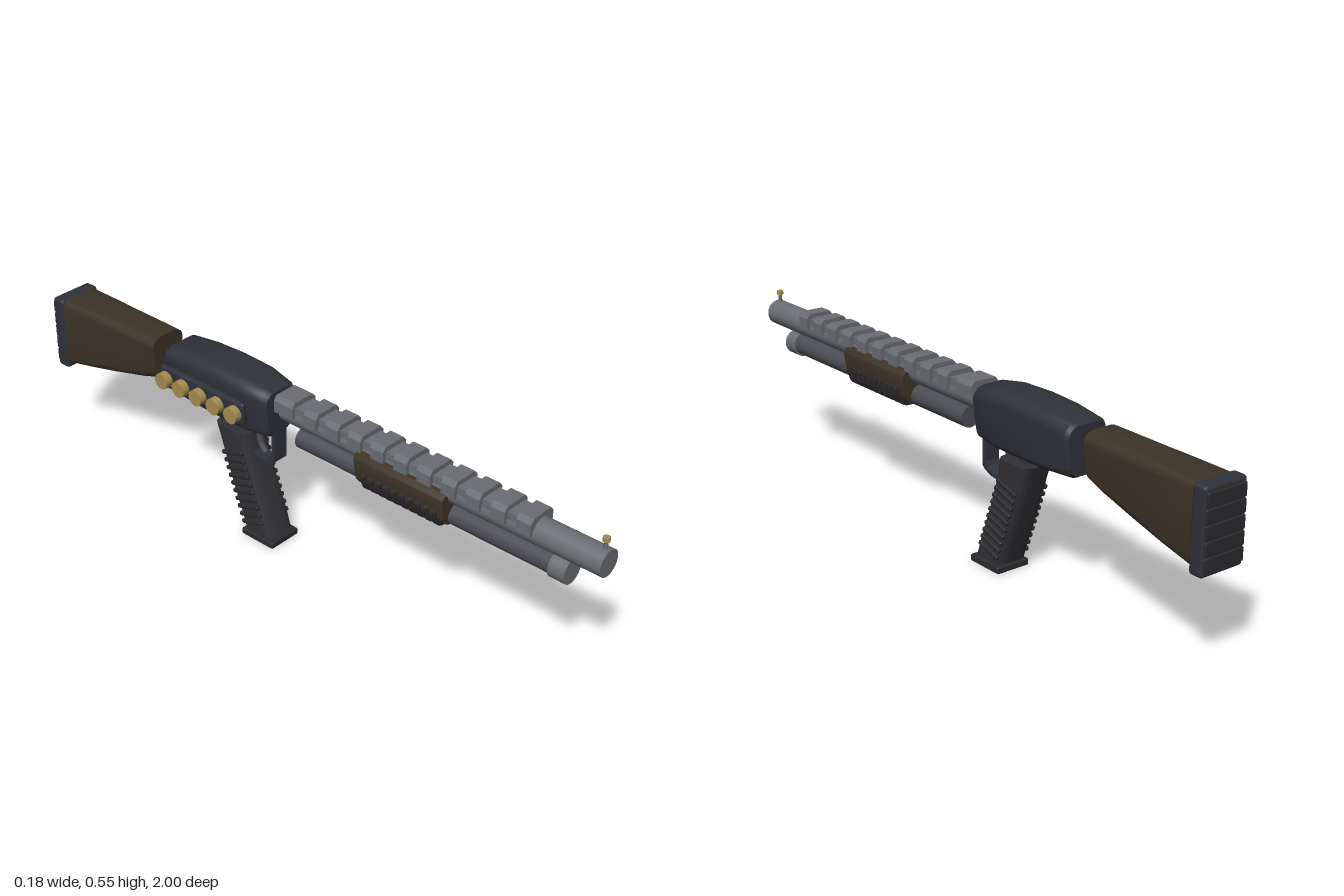
import * as THREE from 'three';
import { toCreasedNormals } from 'three/addons/utils/BufferGeometryUtils.js';
import { RoundedBoxGeometry } from 'three/addons/geometries/RoundedBoxGeometry.js';

const mat = (color) => new THREE.MeshStandardMaterial({ color, side: THREE.DoubleSide });
const steel = mat(0x6a6d72), gunmetal = mat(0x4b4d54), dark = mat(0x30323a);
const wood = mat(0x3d3328), rubber = mat(0x2b2b2f), gripMat = mat(0x333135), brass = mat(0xa68c50);

// One rounded ring: half width w, from y0 to y1, corner radii rt / rb, base narrowed by n
function ring({ w, y0, y1, rt = 0.03, rb = rt, n = 1 }) {
  const pts = [], steps = 6;
  const corners = [[1, 1], [-1, 1], [-1, -1], [1, -1]];
  corners.forEach(([sx, sy], c) => {
    const r = sy > 0 ? rt : rb, hw = sy > 0 ? w : w * n;
    for (let i = 0; i <= steps; i++) {
      const a = (c + i / steps) * Math.PI / 2;
      pts.push([sx * (hw - r) + r * Math.cos(a), (sy > 0 ? y1 - r : y0 + r) + r * Math.sin(a)]);
    }
  });
  return pts;
}

// Closed skin through rings ordered from high z to low z
function loft(sections, crease = 0.6) {
  const pos = [], idx = [], rings = sections.map(ring), n = rings[0].length;
  rings.forEach((r, k) => r.forEach(([x, y]) => pos.push(x, y, sections[k].z)));
  for (let k = 0; k < rings.length - 1; k++)
    for (let i = 0; i < n; i++) {
      const j = (i + 1) % n, a = k * n, b = a + n;
      idx.push(a + i, b + i, b + j, a + i, b + j, a + j);
    }
  [0, rings.length - 1].forEach((k) => {
    const s = sections[k], c = pos.length / 3;
    pos.push(0, (s.y0 + s.y1) / 2, s.z);
    for (let i = 0; i < n; i++) {
      const a = k * n + i, b = k * n + (i + 1) % n;
      if (k === 0) idx.push(c, a, b); else idx.push(c, b, a);
    }
  });
  const g = new THREE.BufferGeometry();
  g.setAttribute('position', new THREE.Float32BufferAttribute(pos, 3));
  g.setIndex(idx);
  return toCreasedNormals(g, crease);
}

export function createModel() {
  const model = new THREE.Group();
  const body = new THREE.Group();
  body.name = 'body';
  body.position.x = 0.015;
  model.add(body);

  const add = (name, geo, material, x = 0, y = 0, z = 0) => {
    const m = new THREE.Mesh(geo, material);
    m.name = name;
    m.position.set(x, y, z);
    body.add(m);
    return m;
  };
  const box = (name, w, h, d, material, x, y, z, r = 0.004) =>
    add(name, new RoundedBoxGeometry(w, h, d, 2, r), material, x, y, z);
  const rod = (name, r, z0, z1, y, material) =>
    add(name, new THREE.CylinderGeometry(r, r, z1 - z0, 32).rotateX(Math.PI / 2), material, 0, y, (z0 + z1) / 2);

  // Barrel, lower tube and its end cap
  rod('barrel', 0.039, -0.07, 1, 0.477, steel);
  rod('lowerTube', 0.032, -0.015, 0.86, 0.402, gunmetal);
  rod('tubeCap', 0.038, 0.85, 0.9, 0.402, steel);

  // Front sight
  add('sightPost', new THREE.CylinderGeometry(0.005, 0.006, 0.03, 12), steel, 0, 0.525, 0.985);
  add('sightBead', new THREE.CylinderGeometry(0.01, 0.01, 0.012, 16), brass, 0, 0.544, 0.985);

  // Toothed top rail
  add('railBase', new THREE.BoxGeometry(0.072, 0.03, 0.87), steel, 0, 0.5, 0.36);
  const profile = new THREE.Shape([
    [-0.048, 0.48], [0.048, 0.48], [0.048, 0.516], [0.036, 0.53], [-0.036, 0.53], [-0.048, 0.516],
  ].map(([x, y]) => new THREE.Vector2(x, y)));
  for (let i = 0; i < 11; i++) {
    const depth = i === 10 ? 0.07 : 0.045;
    const tooth = new THREE.ExtrudeGeometry(profile, { depth, bevelEnabled: false });
    add('railTooth', tooth, steel, 0, 0, i === 10 ? -0.08 : 0.752 - i * 0.08);
  }

  // Sliding fore-end with ribs underneath
  const fore = { w: 0.063, y0: 0.377, y1: 0.485, rt: 0.025, rb: 0.035, n: 0.86 };
  add('foreEnd', loft([
    { ...fore, z: 0.53, w: 0.06 }, { ...fore, z: 0.52 }, { ...fore, z: 0.235 }, { ...fore, z: 0.225, w: 0.06 },
  ]), wood);
  for (let i = 0; i < 10; i++) {
    const z = 0.51 - i * 0.027, rib = { w: 0.062, y0: 0.367, y1: 0.43, rt: 0.01, rb: 0.035, n: 0.92 };
    add('foreEndRib', loft([{ ...rib, z }, { ...rib, z: z - 0.014 }]), rubber);
  }

  // Receiver
  const rec = { w: 0.074, rt: 0.035, rb: 0.03, n: 0.84 };
  add('receiver', loft([
    { ...rec, z: -0.1, w: 0.058, y0: 0.385, y1: 0.522 },
    { ...rec, z: -0.112, w: 0.065, y0: 0.375, y1: 0.53 },
    { ...rec, z: -0.19, y0: 0.369, y1: 0.542 },
    { ...rec, z: -0.3, w: 0.075, y0: 0.368, y1: 0.545 },
    { ...rec, z: -0.4, y0: 0.37, y1: 0.541 },
    { ...rec, z: -0.495, w: 0.07, y0: 0.377, y1: 0.53 },
    { ...rec, z: -0.505, w: 0.064, y0: 0.383, y1: 0.523 },
  ]), dark);

  // Side carrier with five spare rounds
  box('roundCarrier', 0.02, 0.07, 0.34, dark, -0.075, 0.445, -0.337, 0.009);
  for (let i = 0; i < 5; i++) {
    const round = new THREE.CylinderGeometry(0.025, 0.025, 0.04, 24).rotateZ(Math.PI / 2);
    add('spareRound', round, brass, -0.088, 0.443, -0.197 - i * 0.07);
  }

  // Shoulder stock and ridged pad
  add('stock', loft([
    { z: -0.558, w: 0.06, y0: 0.392, y1: 0.528, rt: 0.03, n: 0.85 },
    { z: -0.62, w: 0.062, y0: 0.37, y1: 0.527, rt: 0.03, n: 0.85 },
    { z: -0.75, w: 0.064, y0: 0.338, y1: 0.524, rt: 0.027, n: 0.9 },
    { z: -0.85, w: 0.066, y0: 0.318, y1: 0.521, rt: 0.022, n: 0.95 },
    { z: -0.955, w: 0.067, y0: 0.3, y1: 0.517, rt: 0.016 },
  ]), wood);
  box('buttPad', 0.142, 0.236, 0.046, dark, 0, 0.402, -0.972, 0.01);
  for (let i = 0; i < 5; i++)
    box('padRidge', 0.132, 0.038, 0.012, rubber, 0, 0.318 + i * 0.042, -0.994, 0.003);

  // Slanted hand grip: rings stacked upward, local y pointing backward
  const grip = { w: 0.052, rt: 0.028 };
  add('grip', loft([
    { ...grip, z: 0.348, y0: 0.195, y1: 0.322 },
    { ...grip, z: 0.3, y0: 0.188, y1: 0.305 },
    { ...grip, z: 0.18, y0: 0.15, y1: 0.266 },
    { ...grip, z: 0.08, y0: 0.112, y1: 0.228 },
    { ...grip, z: 0.028, y0: 0.096, y1: 0.21 },
  ]), gripMat).rotation.x = -Math.PI / 2;
  box('gripBase', 0.112, 0.021, 0.125, rubber, 0, 0.0125, -0.148, 0.005);
  box('gripMount', 0.05, 0.04, 0.035, dark, 0, 0.36, -0.275);
  for (const s of [-1, 1])
    for (let i = 0; i < 10; i++) {
      const y = 0.062 + i * 0.0235;
      const rib = box('gripRib', 0.012, 0.013, 0.085, rubber, s * 0.053, y, -0.144 - 0.36 * y);
      rib.rotation.x = -0.3;
    }

  // Trigger guard bent from a flat strip, and the trigger
  const outer = [[-0.1, 0.385], [-0.1, 0.29], [-0.112, 0.279], [-0.14, 0.268], [-0.165, 0.265], [-0.21, 0.29]];
  const inner = [[-0.2, 0.302], [-0.165, 0.276], [-0.14, 0.281], [-0.12, 0.292], [-0.114, 0.305], [-0.114, 0.385]];
  const strip = new THREE.Shape([...outer, ...inner].map(([z, y]) => new THREE.Vector2(-z, y)));
  const guard = new THREE.ExtrudeGeometry(strip, { depth: 0.048, bevelEnabled: false });
  add('triggerGuard', guard.rotateY(Math.PI / 2), dark, -0.024, 0, 0);
  const curve = new THREE.CatmullRomCurve3([
    [0, 0.385, -0.19], [0, 0.34, -0.185], [0, 0.31, -0.178], [0, 0.288, -0.162],
  ].map((p) => new THREE.Vector3(...p)));
  add('trigger', new THREE.TubeGeometry(curve, 12, 0.009, 10), gunmetal);

  return model;
}
